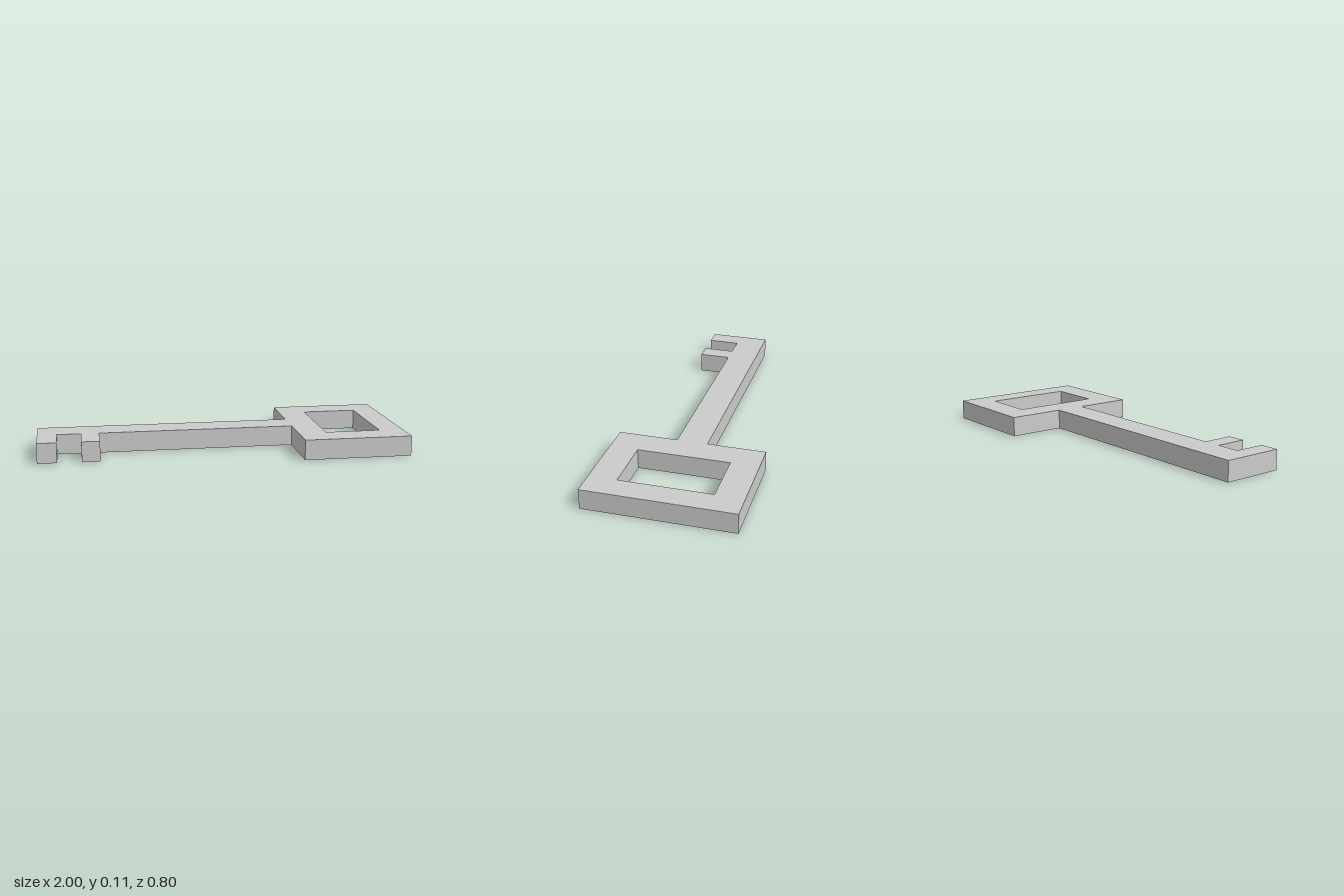
import * as THREE from 'three';

const THICKNESS = 0.11;

const points = (list) => list.map(([x, z]) => new THREE.Vector2(x, z));

export function createModel() {
  const group = new THREE.Group();
  group.name = 'key';

  // Outline in plan (x, z): square bow, straight shaft, two teeth towards +z
  const outline = new THREE.Shape(points([
    [-1, -0.085], [0.41, -0.085],
    [0.41, -0.4], [1, -0.4], [1, 0.4], [0.41, 0.4],
    [0.41, 0.08], [-0.667, 0.08],
    [-0.667, 0.255], [-0.765, 0.255], [-0.765, 0.08],
    [-0.895, 0.08], [-0.895, 0.255], [-1, 0.255],
  ]));

  // Rectangular opening in the bow
  outline.holes.push(new THREE.Path(points([
    [0.563, -0.248], [0.563, 0.248], [0.867, 0.248], [0.867, -0.248],
  ])));

  // Lay the extruded outline flat, resting on the ground
  const geometry = new THREE.ExtrudeGeometry(outline, { depth: THICKNESS, bevelEnabled: false });
  geometry.rotateX(Math.PI / 2).translate(0, THICKNESS, 0);

  const body = new THREE.Mesh(
    geometry,
    new THREE.MeshStandardMaterial({ color: 0xcccccc, flatShading: true })
  );
  body.name = 'keyBody';
  group.add(body);
  return group;
}
